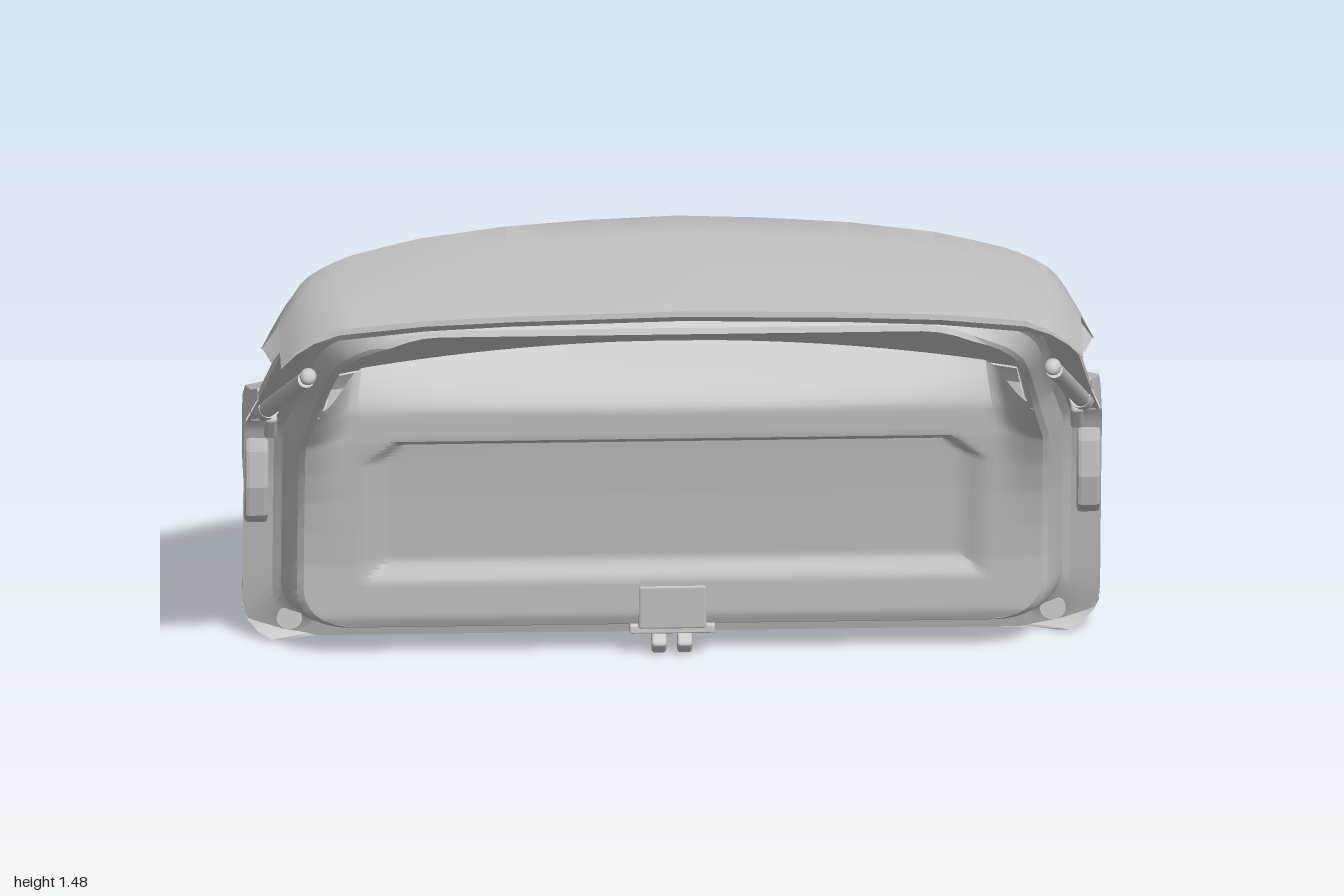
import * as THREE from 'three';
import { toCreasedNormals } from 'three/addons/utils/BufferGeometryUtils.js';
import { RoundedBoxGeometry } from 'three/addons/geometries/RoundedBoxGeometry.js';

const { clamp, lerp, smoothstep } = THREE.MathUtils;
const material = new THREE.MeshStandardMaterial({ color: 0xcccccc, side: THREE.DoubleSide });

// Piecewise-linear lookup in a table of [key, value] pairs with rising keys
function lookup(table, k) {
  if (k <= table[0][0]) return table[0][1];
  for (let i = 1; i < table.length; i++) {
    const [a, va] = table[i - 1], [b, vb] = table[i];
    if (k <= b) return va + (vb - va) * (k - a) / (b - a);
  }
  return table[table.length - 1][1];
}

// Surface through rows of [x, y, z] points
function loft(rows, closed = false) {
  const n = rows[0].length, index = [];
  for (let r = 0; r < rows.length - 1; r++) {
    for (let i = 0; i < (closed ? n : n - 1); i++) {
      const a = r * n + i, b = r * n + (i + 1) % n;
      index.push(a, b, a + n, b, b + n, a + n);
    }
  }
  const g = new THREE.BufferGeometry();
  g.setAttribute('position', new THREE.Float32BufferAttribute(rows.flat(2), 3));
  g.setIndex(index);
  g.computeVertexNormals();
  return toCreasedNormals(g, 0.42);
}

// Half width, flange depth, inner rim depth and glass depth
const width = y => lookup([[0, 0.98], [0.12, 1], [0.7, 1], [0.85, 0.97], [1.24, 0.91], [1.38, 0.86]], y);
const flangeZ = (x, y) => lookup([[0, -0.47], [0.15, -0.415], [0.4, -0.345], [0.55, -0.3], [0.7, -0.24],
  [0.84, -0.11], [1.3, 0.36], [1.38, 0.43]], y);
const rimZ = (x, y) => lookup([[0.08, -0.33], [0.14, -0.3], [0.3, -0.275], [0.4, -0.25], [0.5, -0.22], [0.6, -0.18],
  [0.7, -0.13], [0.87, 0], [1, 0.13], [1.1, 0.245], [1.2, 0.35], [1.3, 0.45], [1.38, 0.48]], y);
const glassZ = (x, y) => lookup([[0.85, -0.34], [1.24, 0.13], [1.38, 0.3]], y)
  + lookup([[0.85, 0.2], [1.24, 0.12], [1.38, 0.08]], y) * (x / width(y)) ** 2;

// Lower trim: upright middle, shelf rolling back to the glass, sunken field with cut top corners
function trimZ(u, y) {
  const a = Math.abs(u), x = u * width(y);
  let z = Math.min(rimZ(x, y), lookup([[0.08, -0.33], [0.14, -0.3], [0.3, -0.275], [0.5, -0.23], [0.68, -0.185], [0.77, -0.17]], y));
  if (y > 0.76) z = lerp(z, glassZ(x, 0.87), ((y - 0.76) / 0.11) ** 2);
  const inside = Math.min((0.735 - a) / 0.07, (y - 0.24) / 0.06, (0.685 - y) / 0.03, (1.34 - a - y) / 0.06);
  z -= 0.025 * smoothstep(clamp(inside, 0, 1), 0, 1);
  return lerp(z, rimZ(x, y), smoothstep(a, 0.75, 0.86));
}

// Rounded rectangle on the gate; u is a share of the half width
const SIDE = 28;
function ring(u, y0, y1, r0, r1, depth) {
  const pts = [], corner = 8;
  const corners = [[u - r0, y0 + r0, r0, -0.5], [u - r1, y1 - r1, r1, 0], [r1 - u, y1 - r1, r1, 0.5], [r0 - u, y0 + r0, r0, 1]];
  corners.forEach(([cx, cy, r, start]) => {
    for (let i = 0; i <= corner; i++) {
      const a = (start + 0.5 * i / corner) * Math.PI;
      pts.push([cx + r * Math.cos(a), cy + r * Math.sin(a)]);
    }
  });
  const out = [];
  pts.forEach((p, i) => {
    const q = pts[(i + 1) % pts.length], steps = i % (corner + 1) === corner ? SIDE : 1;
    for (let s = 0; s < steps; s++) {
      const y = lerp(p[1], q[1], s / steps);
      const x = lerp(p[0], q[0], s / steps) * width(y);
      out.push([x, y, depth(x, y)]);
    }
  });
  return out;
}

// One row of the outer skin, returning at both ends to the flange
function skinRow([y, z, w, sag]) {
  const row = [[-w, y, flangeZ(0, y)]], n = 32;
  for (let i = 0; i <= n; i++) {
    const u = -1 + 2 * i / n;
    row.push([u * w, y, z + sag * Math.abs(u) ** 2.2]);
  }
  row.push([w, y, flangeZ(0, y)]);
  return row;
}

export function createModel() {
  const model = new THREE.Group();
  const add = (name, geometry, pos = [0, 0, 0], rot = [0, 0, 0]) => {
    const m = new THREE.Mesh(geometry, material);
    m.name = name;
    m.position.set(...pos);
    m.rotation.set(...rot);
    model.add(m);
    return m;
  };
  const rod = (name, a, b, radius) => {
    const from = new THREE.Vector3(...a), to = new THREE.Vector3(...b);
    const m = add(name, new THREE.CylinderGeometry(radius, radius, from.distanceTo(to), 16));
    m.position.copy(from).lerp(to, 0.5);
    m.quaternion.setFromUnitVectors(new THREE.Vector3(0, 1, 0), to.sub(from).normalize());
  };

  // Outer skin: rows of height, centre depth, half width, sweep at the sides
  const skin = (name, rows) => add(name, loft(rows.map(skinRow)));
  skin('rearGlass', [[1.38, 0.3, 0.86, 0.08], [1.24, 0.13, 0.91, 0.12], [1.04, -0.111, 0.94, 0.161], [0.845, -0.345, 0.97, 0.2]]);
  skin('lampBand', [[0.845, -0.338, 0.97, 0.2], [0.85, -0.35, 0.972, 0.2], [0.835, -0.375, 0.976, 0.2], [0.79, -0.45, 0.985, 0.2],
    [0.745, -0.54, 0.995, 0.19], [0.7, -0.566, 1, 0.18], [0.65, -0.585, 1, 0.165], [0.53, -0.58, 1, 0.16],
    [0.51, -0.57, 1, 0.15], [0.5, -0.485, 0.995, 0.12]]);
  skin('lowerPanel', [[0.5, -0.485, 0.995, 0.12], [0.4, -0.5, 0.99, 0.12], [0.25, -0.53, 0.99, 0.12], [0.2, -0.555, 0.995, 0.13],
    [0.17, -0.592, 1, 0.15], [0.09, -0.597, 0.998, 0.15], [0.055, -0.596, 0.985, 0.15], [0.025, -0.593, 0.96, 0.15],
    [0.008, -0.588, 0.93, 0.15], [0.001, -0.57, 0.9, 0.12], [0, -0.47, 0.88, 0]]);

  // Inner side: flange and raised rim
  const offset = (f, d) => (x, y) => f(x, y) + d;
  add('innerFlange', loft([
    ring(1, 0, 1.38, 0.09, 0.12, flangeZ), ring(0.93, 0.05, 1.375, 0.1, 0.2, flangeZ),
    ring(0.91, 0.07, 1.37, 0.12, 0.24, offset(flangeZ, 0.015)), ring(0.89, 0.09, 1.365, 0.12, 0.25, offset(rimZ, -0.035)),
    ring(0.875, 0.1, 1.35, 0.12, 0.235, offset(rimZ, -0.01)), ring(0.86, 0.11, 1.335, 0.12, 0.22, rimZ)], true));
  // Arch around the window, open along the bottom
  add('windowSurround', loft([
    ring(0.86, 0.84, 1.335, 0.005, 0.22, rimZ), ring(0.852, 0.845, 1.32, 0.005, 0.2, offset(rimZ, -0.012)),
    ring(0.842, 0.85, 1.3, 0.005, 0.18, offset(rimZ, -0.05)), ring(0.83, 0.855, 1.25, 0.005, 0.14, offset(glassZ, 0.01)),
  ].map(r => r.slice(0, 1 - SIDE))));
  // Lower trim
  const trimRows = [];
  for (let i = 0; i <= 64; i++) {
    const y = 0.11 + 0.76 * i / 64, drop = Math.max(0, 0.23 - y);
    const edge = 0.74 + Math.sqrt(0.0144 - Math.min(0.0144, drop * drop));
    trimRows.push(Array.from({ length: 97 }, (_, j) => {
      const u = edge * (j / 48 - 1);
      return [u * width(y), y, trimZ(u, y)];
    }));
  }
  add('innerTrim', loft(trimRows));

  // Roof spoiler: sections swept from side to side
  const topY = x => lookup([[0, 1.475], [0.4, 1.465], [0.6, 1.455], [0.8, 1.432], [0.86, 1.4], [0.9, 1.365], [0.935, 1.32]], x);
  const tailZ = x => lookup([[0, 0], [0.2, 0.006], [0.4, 0.025], [0.6, 0.06], [0.75, 0.1], [0.82, 0.14], [0.88, 0.2], [0.935, 0.32]], x);
  const section = [[1, 0], [0.6, -0.022], [0.25, -0.048], [0.05, -0.07], [0, -0.09], [0, -0.1], [0.05, -0.12],
    [0.3, -0.1], [0.65, -0.075], [0.96, -0.04], [1, -0.015]];
  const half = [0, 0.1, 0.2, 0.3, 0.4, 0.5, 0.6, 0.68, 0.76, 0.8, 0.83, 0.86, 0.88, 0.9, 0.92, 0.935];
  const stations = [...half.slice(1).reverse().map(x => -x), ...half];
  add('roofSpoiler', loft(stations.map(x => {
    const a = Math.abs(x), t = tailZ(a), thin = lookup([[0.8, 1], [0.935, 0.25]], a);
    const front = 0.598 - 0.2 * (1.475 - topY(a));
    return section.map(([s, d]) => [x, topY(a) + d * thin, t + (front - t) * s]);
  }), true));

  // Side pod outline on (-z, y)
  const podShape = new THREE.Shape([[0.27, 0.69], [0.32, 0.715], [0.37, 0.7], [0.41, 0.58], [0.38, 0.52], [0.36, 0.41],
    [0.335, 0.395], [0.3, 0.43], [0.27, 0.52], [0.262, 0.62]].map(p => new THREE.Vector2(...p)));
  const podGeometry = new THREE.ExtrudeGeometry(podShape, { depth: 0.035, bevelSize: 0.008, bevelThickness: 0.01, bevelSegments: 2 });
  podGeometry.rotateY(Math.PI / 2);

  // Fin edges: outer side and the swept edge over the glass
  const curve = pts => new THREE.CatmullRomCurve3(pts.map(p => new THREE.Vector3(...p)));
  const finOuter = curve([[0.93, 1.315, 0.35], [0.95, 1.215, 0.235], [0.972, 1.12, 0.135]]);
  const finInner = curve([[0.66, 1.345, 0.08], [0.8, 1.315, 0.1], [0.885, 1.24, 0.127], [0.968, 1.12, 0.13]]);

  for (const s of [-1, 1]) {
    // Fin running from the spoiler down beside the glass
    const finRows = [];
    for (let i = 0; i <= 12; i++) {
      const a = finOuter.getPoint(i / 12), b = finInner.getPoint(i / 12);
      const bulge = 0.035 * (1 - i / 12);
      const mid = a.clone().lerp(b, 0.5).add(new THREE.Vector3(bulge, 0, -bulge));
      const inside = b.clone().add(new THREE.Vector3(-0.02, 0, 0.07));
      finRows.push([a, mid, b, inside].map(p => [s * p.x, p.y, p.z]));
    }
    add('spoilerFin', loft(finRows));
    add('sidePod', podGeometry, [s * 0.97 - 0.0175, 0, 0]);
    // Gas strut with ball joints
    rod('strutTube', [s * 0.95, 0.8, -0.14], [s * 0.872, 1.185, 0.39], 0.02);
    rod('strutNeck', [s * 0.872, 1.185, 0.39], [s * 0.868, 1.21, 0.42], 0.013);
    rod('strutEnd', [s * 0.955, 0.78, -0.17], [s * 0.945, 0.81, -0.13], 0.025);
    add('strutUpperBall', new THREE.SphereGeometry(0.02, 16, 12), [s * 0.868, 1.21, 0.42]);
    add('strutLowerBall', new THREE.SphereGeometry(0.022, 16, 12), [s * 0.955, 0.775, -0.175]);
    rod('strutPin', [s * 0.93, 0.74, -0.225], [s * 0.985, 0.74, -0.225], 0.02);
    add('strutBracket', new RoundedBoxGeometry(0.03, 0.1, 0.07, 2, 0.01), [s * 0.94, 0.745, -0.2], [0.6, 0, 0]);
    add('rubberStop', new THREE.CylinderGeometry(0.03, 0.03, 0.02, 20), [s * 0.89, 0.07, -0.44], [Math.PI / 2, 0, 0]);
  }

  // Licence plate field and handle
  add('plateField', new RoundedBoxGeometry(0.72, 0.21, 0.015, 2, 0.005), [0, 0.355, -0.511], [0.2, 0, 0]);
  add('handle', new RoundedBoxGeometry(0.26, 0.035, 0.05, 3, 0.012), [0, 0.497, -0.53]);

  // Latch
  add('latchCover', new RoundedBoxGeometry(0.16, 0.13, 0.03, 2, 0.008), [0, 0.165, -0.308], [0.15, 0, 0]);
  add('latchBase', new RoundedBoxGeometry(0.2, 0.025, 0.1, 2, 0.006), [0, 0.095, -0.36]);
  for (const s of [-1, 1])
    add('latchJaw', new RoundedBoxGeometry(0.035, 0.05, 0.1, 2, 0.008), [s * 0.03, 0.055, -0.38], [0.65, 0, 0]);
  return model;
}
